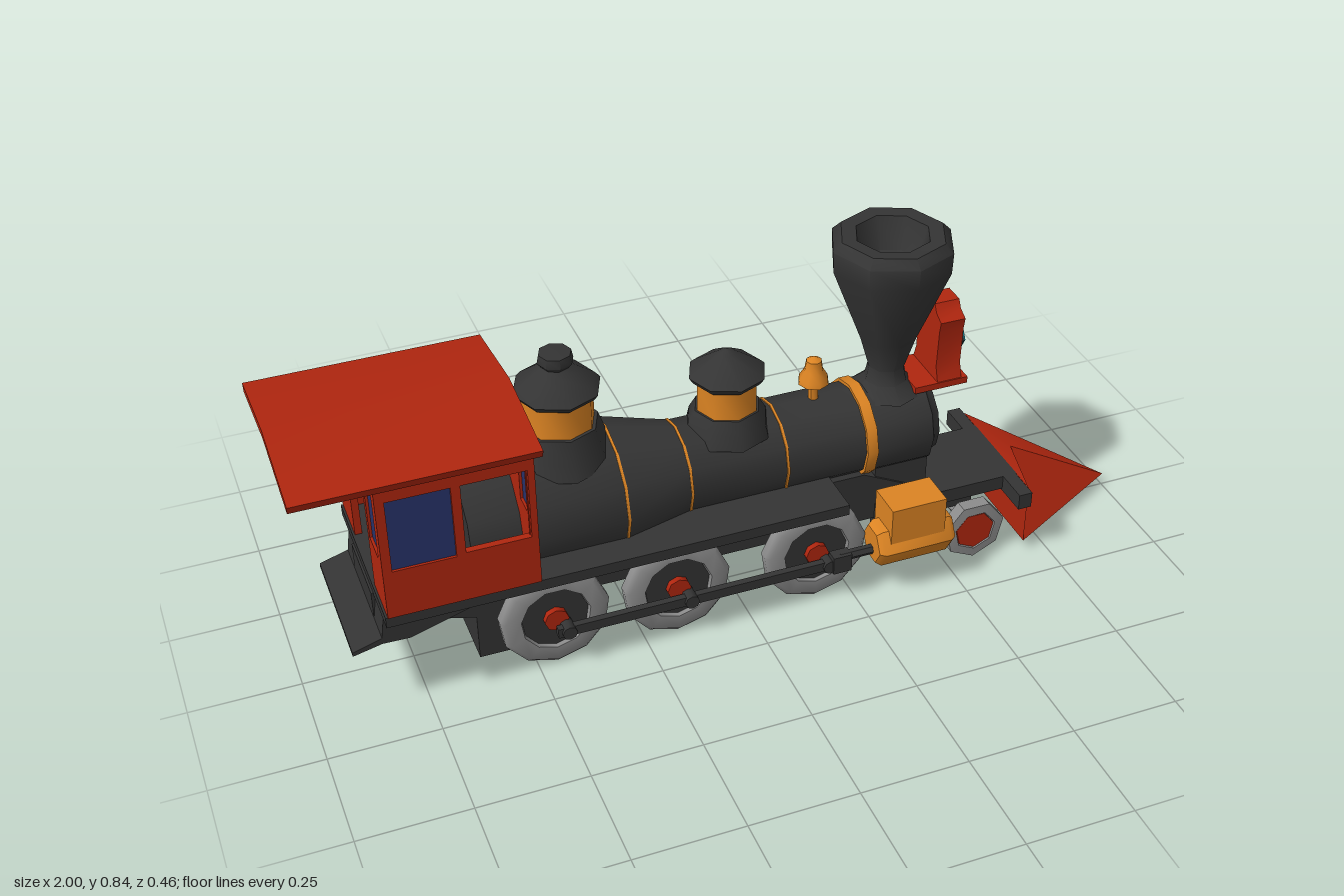
import * as THREE from 'three';
import { toCreasedNormals } from 'three/addons/utils/BufferGeometryUtils.js';

const mat = (name, color, side = THREE.FrontSide) => {
  const m = new THREE.MeshStandardMaterial({ color, side });
  m.name = name;
  return m;
};

export function createModel() {
  const model = new THREE.Group();
  model.name = 'steamLocomotive';
  const red = mat('red', 0xb0260f), black = mat('black', 0x343434), gold = mat('gold', 0xdc8423);
  const grey = mat('steelGrey', 0x8c8c8c), teal = mat('lampTeal', 0x0f7888);
  const blue = mat('windowBlue', 0x28336a, THREE.DoubleSide);

  const add = (name, geo, material, x = 0, y = 0, z = 0) => {
    const mesh = new THREE.Mesh(toCreasedNormals(geo, 0.85), material);
    mesh.name = name;
    mesh.position.set(x, y, z);
    model.add(mesh);
    return mesh;
  };
  // Box given by its limits
  const box = (name, m, x0, x1, y0, y1, z0, z1) =>
    add(name, new THREE.BoxGeometry(x1 - x0, y1 - y0, Math.abs(z1 - z0)), m, (x0 + x1) / 2, (y0 + y1) / 2, (z0 + z1) / 2);
  // Turned part: [radius, height] pairs from bottom to top
  const lathe = (pts, sides) => new THREE.LatheGeometry(pts.map(p => new THREE.Vector2(...p)), sides);
  const alongX = g => g.rotateZ(-Math.PI / 2);
  const shapeOf = pts => new THREE.Shape(pts.map(p => new THREE.Vector2(...p)));
  const rectHole = (x0, x1, y0, y1) =>
    new THREE.Path([[x0, y0], [x0, y1], [x1, y1], [x1, y0]].map(p => new THREE.Vector2(...p)));
  const extrude = (shape, depth) => new THREE.ExtrudeGeometry(shape, { depth, bevelEnabled: false });

  // Boiler with tapered firebox and smokebox nose
  add('boiler', alongX(lathe([[0, -0.63], [0.148, -0.63], [0.15, -0.28], [0.108, -0.12], [0.108, 0.3],
    [0.112, 0.32], [0.112, 0.46], [0.095, 0.472], [0.09, 0.485], [0.045, 0.492], [0, 0.496]], 12)), black, 0, 0.365, 0);
  const band = (name, x, w, r) => add(name, alongX(lathe([[r - 0.01, -w / 2], [r, -w / 2], [r, w / 2], [r - 0.01, w / 2]], 12)), gold, x, 0.365, 0);
  band('smokeboxBand', 0.308, 0.026, 0.116);
  band('boilerBand', 0.105, 0.006, 0.111);
  band('boilerBand', -0.122, 0.006, 0.111);
  band('boilerBand', -0.282, 0.006, 0.152);

  // Frame, ash pan, saddle and decks
  add('frame', extrude(shapeOf([[-0.84, 0.29], [-0.84, 0.215], [-0.62, 0.155], [-0.62, 0.04], [-0.34, 0.04],
    [-0.34, 0.16], [0.48, 0.16], [0.48, 0.2], [0.3, 0.29]]), 0.18), black, 0, 0, -0.09);
  box('smokeboxSaddle', black, 0.33, 0.46, 0.18, 0.3, -0.085, 0.085);
  box('runningBoard', black, -0.835, 0.21, 0.286, 0.312, -0.207, 0.207);
  box('frontDeck', black, 0.44, 0.69, 0.165, 0.2, -0.105, 0.105);
  box('bufferBeam', black, 0.655, 0.688, 0.16, 0.2, -0.186, 0.186);
  add('rearStep', extrude(shapeOf([[-0.905, 0.192], [-0.84, 0.207], [-0.78, 0.205], [-0.6, 0.26],
    [-0.6, 0.29], [-0.83, 0.29], [-0.84, 0.222], [-0.905, 0.202]]), 0.32), black, 0, 0, -0.16);

  // Chimney with hollow top
  add('chimney', lathe([[0.085, 0.455], [0.05, 0.485], [0.042, 0.52], [0.066, 0.6], [0.138, 0.785], [0.14, 0.835],
    [0.12, 0.855], [0.085, 0.853], [0.06, 0.78], [0, 0.75]], 8), black, 0.385, 0, 0);

  // Domes: dark base, gold drum, dark cap
  const dome = (name, x, base, drum, cap) => {
    add(name + 'Base', lathe(base, 8), black, x);
    add(name + 'Drum', lathe(drum, 8), gold, x);
    add(name + 'Cap', lathe(cap, 8), black, x);
  };
  dome('sandDome', 0, [[0.1, 0.44], [0.092, 0.475], [0.075, 0.505], [0, 0.505]],
    [[0.07, 0.5], [0.07, 0.58]],
    [[0, 0.575], [0.078, 0.577], [0.088, 0.592], [0.08, 0.6], [0.02, 0.64], [0, 0.65]]);
  dome('steamDome', -0.385, [[0.115, 0.47], [0.105, 0.51], [0.088, 0.56], [0, 0.56]],
    [[0.08, 0.53], [0.08, 0.64]],
    [[0, 0.633], [0.088, 0.635], [0.097, 0.648], [0.085, 0.662], [0.045, 0.69], [0.03, 0.7], [0.04, 0.712], [0.036, 0.732], [0, 0.735]]);

  // Bell
  add('bell', lathe([[0.012, 0.46], [0.012, 0.51], [0.036, 0.513], [0.034, 0.525], [0.022, 0.545], [0.018, 0.57], [0, 0.58]], 8), gold, 0.207);

  // Headlamp on its bracket
  box('lampShelf', red, 0.43, 0.56, 0.464, 0.48, -0.065, 0.065);
  add('lampBody', extrude(shapeOf([[-0.062, 0.48], [0.062, 0.48], [0.05, 0.515], [0.055, 0.61], [0.06, 0.635],
    [0.035, 0.648], [0.025, 0.667], [-0.025, 0.667], [-0.035, 0.648], [-0.06, 0.635], [-0.055, 0.61], [-0.05, 0.515]]), 0.06)
    .rotateY(Math.PI / 2), red, 0.486);
  add('lampRim', alongX(new THREE.CylinderGeometry(0.044, 0.044, 0.012, 6)), black, 0.55, 0.565);
  add('lampLens', alongX(new THREE.CylinderGeometry(0.042, 0.042, 0.008, 6)), teal, 0.556, 0.565);

  // Cab side walls with a glazed rear window and an open front one
  for (const s of [1, -1]) {
    const wall = shapeOf([[-0.83, 0.312], [-0.5, 0.312], [-0.5, 0.65], [-0.83, 0.65]]);
    wall.holes.push(rectHole(-0.81, -0.675, 0.43, 0.605), rectHole(-0.655, -0.515, 0.435, 0.605));
    add('cabSide', extrude(wall, 0.016), red, 0, 0, s * 0.202 - 0.008);
    box('cabSidePane', blue, -0.81, -0.675, 0.43, 0.605, s * 0.2, s * 0.204);
  }
  // Cab front wall
  const front = shapeOf([[-0.2, 0.312], [0.2, 0.312], [0.2, 0.652], [0, 0.678], [-0.2, 0.652]]);
  for (const s of [1, -1]) {
    for (const [a, b, y0, y1] of [[0.145, 0.192, 0.49, 0.605], [0.07, 0.115, 0.54, 0.62]]) {
      front.holes.push(rectHole(Math.min(s * a, s * b), Math.max(s * a, s * b), y0, y1));
      box('cabFrontPane', blue, -0.511, -0.507, y0, y1, s * a, s * b);
    }
    // Cab rear wall, split by an open doorway
    const [z0, z1] = s > 0 ? [0.09, 0.2] : [-0.2, -0.09];
    const rear = shapeOf([[z0, 0.312], [z1, 0.312], [z1, 0.655], [z0, 0.655]]);
    rear.holes.push(rectHole(z0 + 0.018, z1 - 0.018, 0.45, 0.605));
    add('cabRearWall', extrude(rear, 0.016).rotateY(Math.PI / 2), red, -0.83);
    box('cabRearPane', blue, -0.824, -0.82, 0.45, 0.605, z0 + 0.018, z1 - 0.018);
  }
  add('cabFrontWall', extrude(front, 0.016).rotateY(Math.PI / 2), red, -0.517);
  add('cabRoof', extrude(shapeOf([[-0.226, 0.643], [0, 0.672], [0.226, 0.643], [0.232, 0.661], [0, 0.692], [-0.232, 0.661]]), 0.515)
    .rotateY(Math.PI / 2), red, -1);

  // Cowcatcher: a wedge whose top edge recedes from the low front tip
  const T = [[0.69, 0.198, 0.165], [0.73, 0.198, 0], [0.69, 0.198, -0.165]];
  const B = [[0.69, 0.043, 0.165], [1, 0.043, 0], [0.69, 0.043, -0.165]];
  const tris = [[B[0], B[1], T[1]], [B[0], T[1], T[0]], [B[1], B[2], T[2]], [B[1], T[2], T[1]],
    [T[0], T[1], T[2]], [B[0], B[2], B[1]], [B[2], B[0], T[0]], [B[2], T[0], T[2]]];
  const wedge = new THREE.BufferGeometry();
  wedge.setAttribute('position', new THREE.Float32BufferAttribute(tris.flat(2), 3));
  add('cowcatcher', wedge, red);

  // Wheels, rods and cylinders on both sides
  for (const s of [1, -1]) {
    const outward = g => g.rotateX(s * Math.PI / 2);
    const disc = (name, r, d, n, m, x, y, z) => add(name, outward(new THREE.CylinderGeometry(r, r, d, n)), m, x, y, s * z);
    for (const x of [-0.455, -0.17, 0.165]) {
      add('drivingWheel', outward(lathe([[0, -0.022], [0.08, -0.02], [0.126, -0.012], [0.126, 0.008], [0.115, 0.018],
        [0.08, 0.018], [0.076, 0.002], [0, 0.002]], 11)), grey, x, 0.138, s * 0.122);
      disc('wheelCentre', 0.077, 0.012, 11, black, x, 0.138, 0.125);
      disc('wheelHub', 0.028, 0.03, 8, red, x, 0.138, 0.13);
      disc('crankPin', 0.017, 0.05, 8, black, x + 0.02, 0.118, 0.15);
    }
    add('leadingWheel', outward(lathe([[0, -0.02], [0.076, -0.016], [0.076, 0.016], [0.052, 0.018], [0.05, 0.008], [0, 0.008]], 7)),
      grey, 0.572, 0.088, s * 0.122);
    disc('leadingWheelCentre', 0.049, 0.01, 7, red, 0.572, 0.088, 0.133);
    box('sideRod', black, -0.46, 0.23, 0.106, 0.13, s * 0.152, s * 0.168);
    box('crosshead', black, 0.19, 0.235, 0.1, 0.145, s * 0.15, s * 0.18);
    add('pistonRod', alongX(new THREE.CylinderGeometry(0.012, 0.012, 0.1, 6)), black, 0.26, 0.135, s * 0.165);
    // Steam cylinder with valve chest
    add('steamCylinder', alongX(lathe([[0, -0.095], [0.045, -0.095], [0.055, -0.082], [0.055, 0.082], [0.045, 0.095], [0, 0.095]], 6)),
      gold, 0.385, 0.15, s * 0.165);
    box('valveChest', gold, 0.318, 0.452, 0.14, 0.263, s * 0.118, s * 0.208);
    box('cylinderMount', black, 0.33, 0.44, 0.13, 0.2, s * 0.07, s * 0.125);
  }
  // Axles
  for (const [x, y] of [[-0.455, 0.138], [-0.17, 0.138], [0.165, 0.138], [0.572, 0.088]])
    add('axle', new THREE.CylinderGeometry(0.016, 0.016, 0.22, 8).rotateX(Math.PI / 2), grey, x, y);
  box('leadingTruck', black, 0.54, 0.605, 0.1, 0.17, -0.05, 0.05);

  return model;
}
